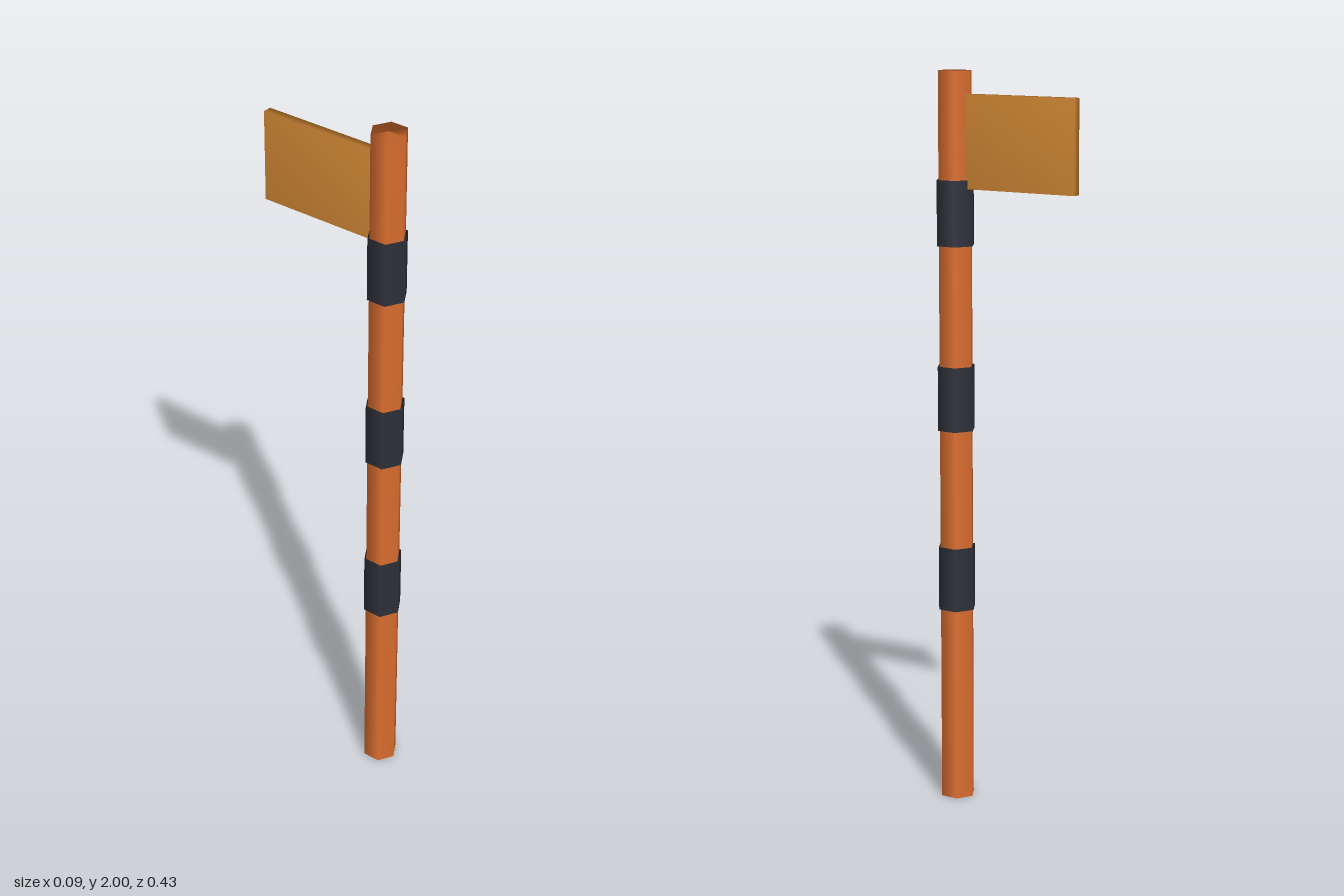
import * as THREE from 'three';
import { mergeVertices } from 'three/addons/utils/BufferGeometryUtils.js';

const POLE_Z = 0.161;

// Six-sided post with softly shaded sides; the outer rows close the ends.
function hexPost(radius, y0, y1) {
  const geometry = new THREE.CylinderGeometry(radius, radius, 1, 6, 3, true);
  const p = geometry.attributes.position;
  for (let i = 0; i < p.count; i++) {
    const row = Math.floor(i / 7);
    const r = row === 0 || row === 3 ? 0 : 1;
    p.setXYZ(i, p.getX(i) * r, row < 2 ? y1 : y0, p.getZ(i) * r);
  }
  return geometry;
}

// Box whose corners share one normal.
function softBox(w, h, d) {
  const geometry = new THREE.BoxGeometry(w, h, d);
  geometry.deleteAttribute('normal');
  geometry.deleteAttribute('uv');
  const merged = mergeVertices(geometry);
  merged.computeVertexNormals();
  return merged;
}

export function createModel() {
  const model = new THREE.Group();
  model.name = 'flagPole';

  const orange = new THREE.MeshStandardMaterial({ color: 0xdf7030 });
  orange.name = 'orange';
  const charcoal = new THREE.MeshStandardMaterial({ color: 0x2f313a });
  charcoal.name = 'charcoal';
  const amber = new THREE.MeshStandardMaterial({ color: 0xd88c36 });
  amber.name = 'amber';

  function add(name, geometry, material, y, z) {
    const mesh = new THREE.Mesh(geometry, material);
    mesh.name = name;
    mesh.position.set(0, y, z);
    model.add(mesh);
  }

  // Pole
  add('pole', hexPost(0.049, 0, 2), orange, 0, POLE_Z);

  // Three dark bands
  for (let i = 0; i < 3; i++) {
    add('band' + (i + 1), hexPost(0.0545, 0, 0.175), charcoal, 0.54 + i * 0.5, POLE_Z);
  }

  // Flag plate behind the pole
  const front = 0.12, back = -0.2155;
  add('flag', softBox(0.024, 0.248, front - back), amber, 1.816, (front + back) / 2);

  return model;
}
